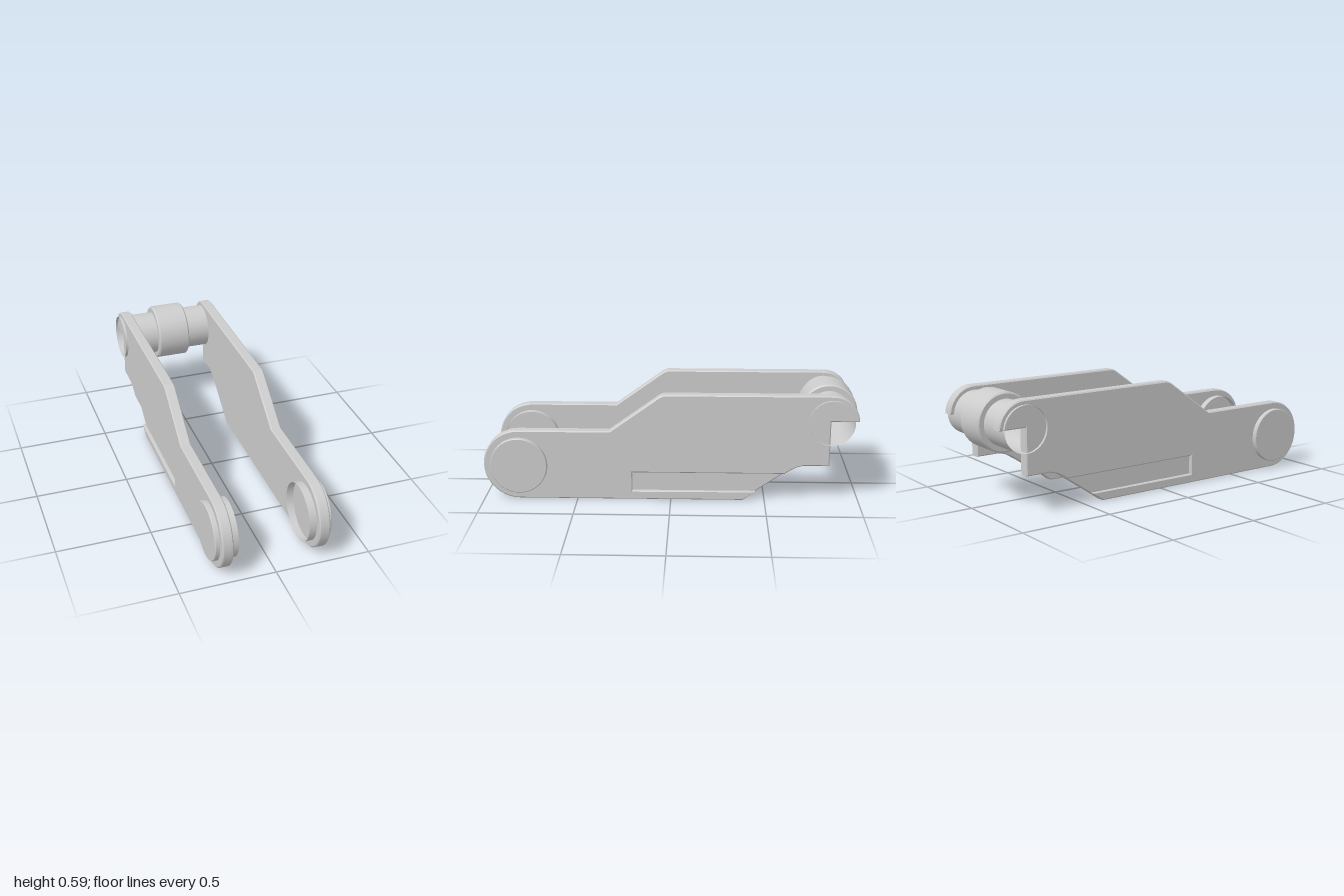
import * as THREE from 'three';
import { toCreasedNormals } from 'three/addons/utils/BufferGeometryUtils.js';

const PIN = { y: 0.192, z: 0.81 };
const AXLE = { y: 0.44, z: -0.845 };
const material = new THREE.MeshStandardMaterial({ color: 0xcccccc, side: THREE.DoubleSide });

// points on an arc in the (z, y) plane, angles in degrees
function arc(cz, cy, r, from, to, n) {
  return Array.from({ length: n + 1 }, (_, i) => {
    const a = THREE.MathUtils.degToRad(from + (to - from) * i / n);
    return [cz + r * Math.cos(a), cy + r * Math.sin(a)];
  });
}

// side outline of an arm as (z, y); the outer layer carries the slot
function armOutline(slotted) {
  const slot = [[-0.45, 0.05], [0.205, 0.05], [0.205, 0.153], [-0.605, 0.153]];
  return [
    ...arc(PIN.z, PIN.y, 0.19, -90, 90, 20),
    [0.325, 0.382], [0.06, 0.573], [0.035, 0.584],
    ...arc(AXLE.z, AXLE.y, 0.144, 90, 178, 12),
    [-0.84, 0.445], [-0.84, 0.2], [-0.705, 0.2], [-0.665, 0.189], [-0.63, 0.17],
    ...(slotted ? slot.reverse() : []),
    [-0.385, 0.002],
  ];
}

// bevelled plate between two distances from the centre plane
function plate(name, side, outline, x0, x1) {
  const bevel = 0.006;
  const shape = new THREE.Shape(outline.map(([z, y]) => new THREE.Vector2(-side * z, y)));
  const geometry = new THREE.ExtrudeGeometry(shape, {
    depth: x1 - x0 - 2 * bevel, bevelThickness: bevel, bevelSize: bevel,
    bevelOffset: -bevel, bevelSegments: 1,
  });
  geometry.translate(0, 0, x0 + bevel).rotateY(side * Math.PI / 2);
  const mesh = new THREE.Mesh(toCreasedNormals(geometry, 0.4), material);
  mesh.name = name;
  return mesh;
}

// turned part around the x axis, profile as [radius, x]
function turned(name, side, profile, { y, z }) {
  const points = profile.map(([r, x]) => new THREE.Vector2(r, x));
  const geometry = new THREE.LatheGeometry(points, 40).rotateZ(-side * Math.PI / 2);
  const mesh = new THREE.Mesh(toCreasedNormals(geometry, 0.4), material);
  mesh.name = name;
  mesh.position.set(0, y, z);
  return mesh;
}

export function createModel() {
  const model = new THREE.Group();
  model.name = 'linkArms';

  for (const side of [1, -1]) {
    const arm = new THREE.Group();
    arm.name = side > 0 ? 'leftArm' : 'rightArm';
    arm.add(
      plate('innerPlate', side, armOutline(false), 0.222, 0.262),
      plate('slottedOuterPlate', side, armOutline(true), 0.25, 0.28),
      // pivot boss: open towards the inside, capped on the outside
      turned('pivotBoss', side,
        [[0.152, 0.184], [0.152, 0.301], [0.148, 0.305], [0, 0.305]], PIN),
    );
    model.add(arm);
  }

  // hollow cross tube and its thick centre collar
  model.add(
    turned('crossTube', 1, [[0.121, -0.294], [0.121, 0.294]], AXLE),
    turned('collar', 1, [
      [0.121, -0.092], [0.147, -0.092], [0.155, -0.084],
      [0.155, 0.084], [0.147, 0.092], [0.121, 0.092],
    ], AXLE),
  );
  return model;
}
